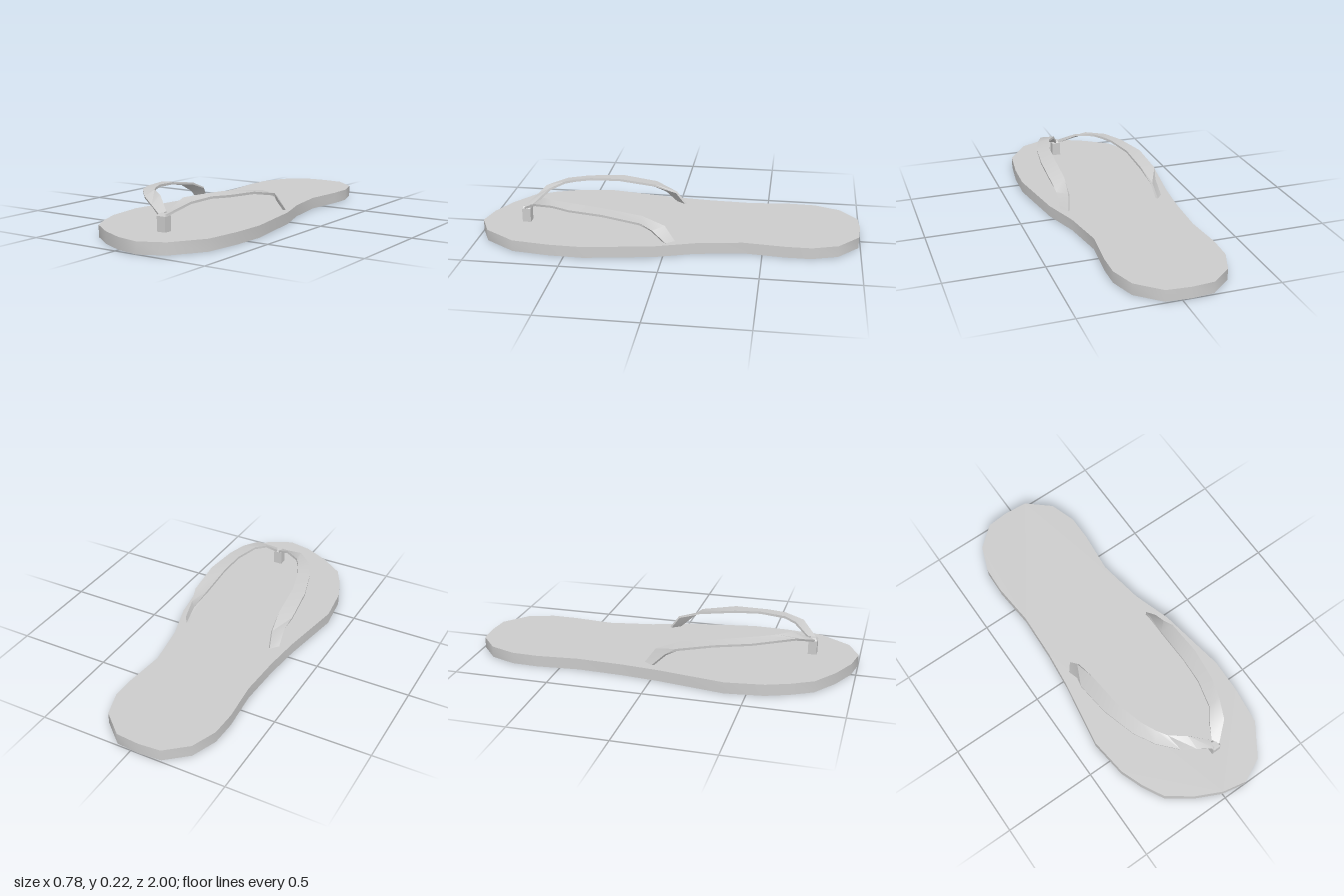
import * as THREE from 'three';
import { toCreasedNormals } from 'three/addons/utils/BufferGeometryUtils.js';

const material = new THREE.MeshStandardMaterial({ color: 0xcccccc });
const SOLE_HEIGHT = 0.06;
const STRAP_THICKNESS = 0.012;

// Sole outline as [x, z], from the heel round the left side to the toe and back
const outline = [
  [-0.16, -0.99], [-0.045, -1], [0.08, -0.99], [0.2, -0.885], [0.245, -0.75], [0.245, -0.62],
  [0.225, -0.4], [0.265, -0.16], [0.33, 0.04], [0.365, 0.25], [0.39, 0.4], [0.385, 0.58],
  [0.36, 0.775], [0.25, 0.94], [0.125, 1], [0, 0.975], [-0.135, 0.91], [-0.26, 0.82],
  [-0.32, 0.71], [-0.365, 0.59], [-0.39, 0.39], [-0.335, 0.04], [-0.315, -0.16],
  [-0.305, -0.4], [-0.325, -0.62], [-0.32, -0.76], [-0.27, -0.895],
];

// Strap cross-sections from the sole to the toe post: [outer edge, inner edge]
const rightSections = [
  [[-0.284, 0.055, -0.015], [-0.25, 0.055, -0.058]],
  [[-0.277, 0.125, 0.06], [-0.235, 0.135, 0]],
  [[-0.293, 0.168, 0.12], [-0.215, 0.177, 0.12]],
  [[-0.276, 0.202, 0.31], [-0.2, 0.206, 0.32]],
  [[-0.225, 0.209, 0.49], [-0.16, 0.218, 0.47]],
  [[-0.165, 0.212, 0.6], [-0.125, 0.219, 0.545]],
  [[-0.075, 0.2, 0.695], [-0.09, 0.218, 0.6]],
  [[0, 0.17, 0.735], [-0.005, 0.209, 0.663]],
  [[0.08, 0.14, 0.778], [0.088, 0.15, 0.735]],
];
const leftSections = [
  [[0.287, 0.055, -0.015], [0.255, 0.055, -0.058]],
  [[0.285, 0.125, 0.06], [0.238, 0.135, 0]],
  [[0.298, 0.168, 0.12], [0.223, 0.177, 0.12]],
  [[0.3, 0.203, 0.31], [0.22, 0.206, 0.32]],
  [[0.278, 0.21, 0.49], [0.21, 0.218, 0.46]],
  [[0.245, 0.215, 0.59], [0.175, 0.218, 0.6]],
  [[0.2, 0.2, 0.695], [0.13, 0.209, 0.663]],
  [[0.11, 0.14, 0.778], [0.095, 0.15, 0.735]],
];

// Thin band lofted through pairs of top edges, each pair ordered from -x to +x
function strapGeometry(pairs) {
  const edges = pairs.map((pair) => pair.map((p) => new THREE.Vector3(...p)));
  const middles = edges.map(([a, b]) => a.clone().add(b).multiplyScalar(0.5));
  const positions = [];
  const indices = [];
  const last = edges.length - 1;
  edges.forEach(([a, b], i) => {
    const along = middles[Math.min(i + 1, last)].clone().sub(middles[Math.max(i - 1, 0)]);
    const drop = along.cross(b.clone().sub(a)).normalize().multiplyScalar(-STRAP_THICKNESS);
    const ring = [a, b, b.clone().add(drop), a.clone().add(drop)];
    ring.forEach((p) => positions.push(p.x, p.y, p.z));
    if (i === last) return;
    for (let j = 0; j < 4; j++) {
      const p = i * 4 + j;
      const q = i * 4 + (j + 1) % 4;
      indices.push(p, p + 4, q, q, p + 4, q + 4);
    }
  });
  const e = last * 4;
  indices.push(0, 1, 2, 0, 2, 3, e, e + 2, e + 1, e, e + 3, e + 2);
  const geometry = new THREE.BufferGeometry();
  geometry.setAttribute('position', new THREE.Float32BufferAttribute(positions, 3));
  geometry.setIndex(indices);
  return toCreasedNormals(geometry, 0.6);
}

export function createModel() {
  const model = new THREE.Group();
  model.name = 'flipFlop';
  const add = (name, geometry) => {
    const mesh = new THREE.Mesh(geometry, material);
    mesh.name = name;
    model.add(mesh);
    return mesh;
  };

  // Flat sole
  const shape = new THREE.Shape(outline.map(([x, z]) => new THREE.Vector2(x, -z)));
  const sole = new THREE.ExtrudeGeometry(shape, { depth: SOLE_HEIGHT, bevelEnabled: false });
  sole.rotateX(-Math.PI / 2);
  add('sole', toCreasedNormals(sole, 0.8));

  // The two bands of the thong
  add('rightStrap', strapGeometry(rightSections));
  add('leftStrap', strapGeometry(leftSections.map(([outer, inner]) => [inner, outer])));

  // Square toe post, with a tapered cap where the bands meet
  add('toePost', new THREE.BoxGeometry(0.048, 0.08, 0.045)).position.set(0.095, 0.095, 0.763);
  const cap = new THREE.CylinderGeometry(0.02, 0.034, 0.012, 4, 1).rotateY(Math.PI / 4);
  add('toePostCap', toCreasedNormals(cap, 0.3)).position.set(0.095, 0.141, 0.763);

  return model;
}
